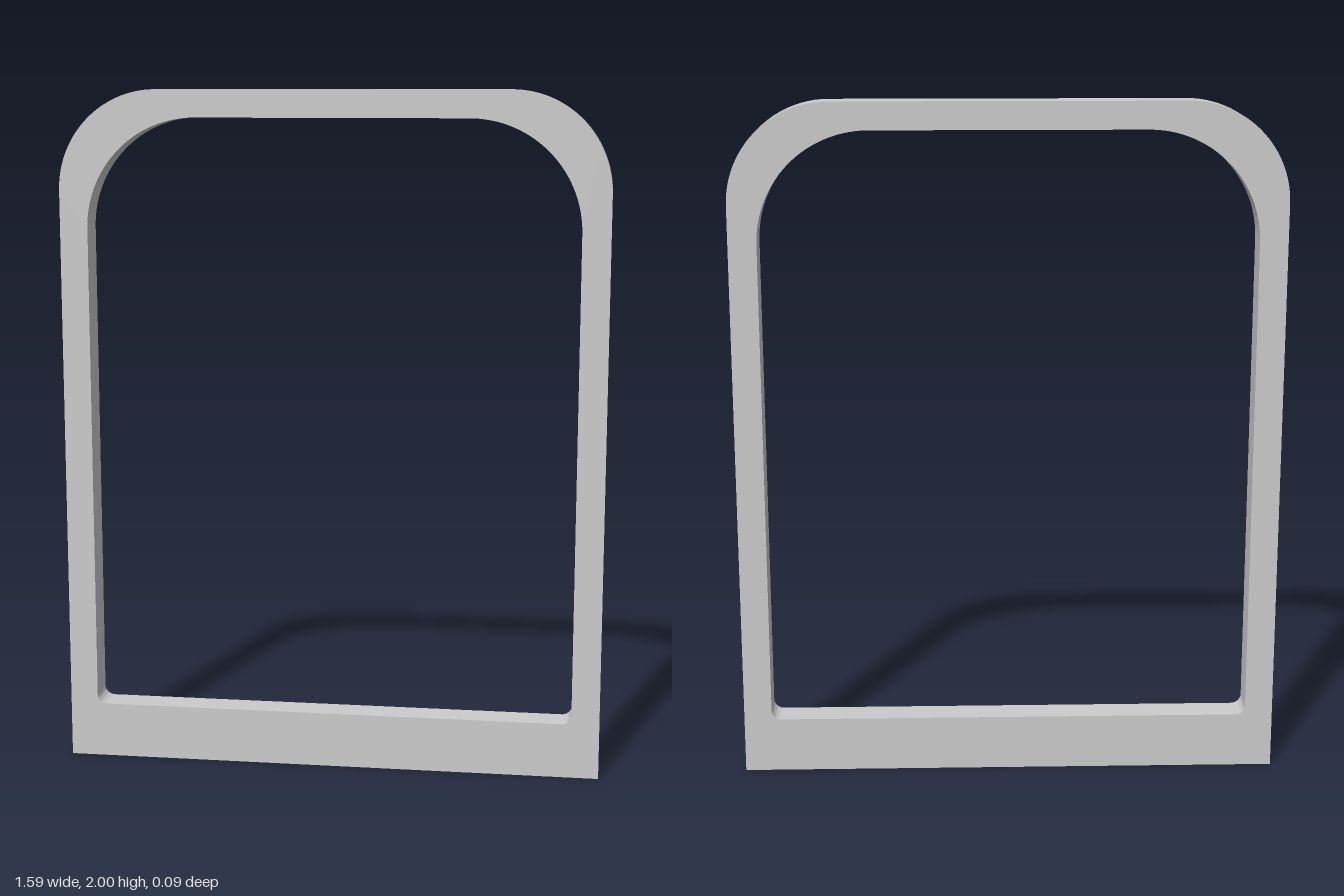
import * as THREE from 'three';
import { toCreasedNormals } from 'three/addons/utils/BufferGeometryUtils.js';

const DEPTH = 0.093;

// Upright rectangle with separate radii for the top and bottom corners
function roundedOutline(path, halfWidth, bottom, top, topRadius, bottomRadius) {
  const w = halfWidth, r = topRadius, b = bottomRadius;
  path.moveTo(-w + b, bottom);
  path.lineTo(w - b, bottom);
  if (b > 0) path.absarc(w - b, bottom + b, b, -Math.PI / 2, 0);
  path.lineTo(w, top - r);
  path.absarc(w - r, top - r, r, 0, Math.PI / 2);
  path.lineTo(-w + r, top);
  path.absarc(-w + r, top - r, r, Math.PI / 2, Math.PI);
  path.lineTo(-w, bottom + b);
  if (b > 0) path.absarc(-w + b, bottom + b, b, Math.PI, Math.PI * 1.5);
  return path;
}

export function createModel() {
  const group = new THREE.Group();
  group.name = 'archedFrame';

  // Flat frame: square feet outside, softly rounded opening inside
  const outline = roundedOutline(new THREE.Shape(), 0.796, 0, 2, 0.29, 0);
  outline.holes.push(roundedOutline(new THREE.Path(), 0.714, 0.163, 1.92, 0.32, 0.03));

  const geometry = new THREE.ExtrudeGeometry(outline, {
    depth: DEPTH, bevelEnabled: false, curveSegments: 24,
  });
  geometry.translate(0, 0, -DEPTH / 2);

  const frame = new THREE.Mesh(
    toCreasedNormals(geometry, Math.PI / 6),
    new THREE.MeshStandardMaterial({ color: 0xcccccc }),
  );
  frame.name = 'frame';
  group.add(frame);
  return group;
}
